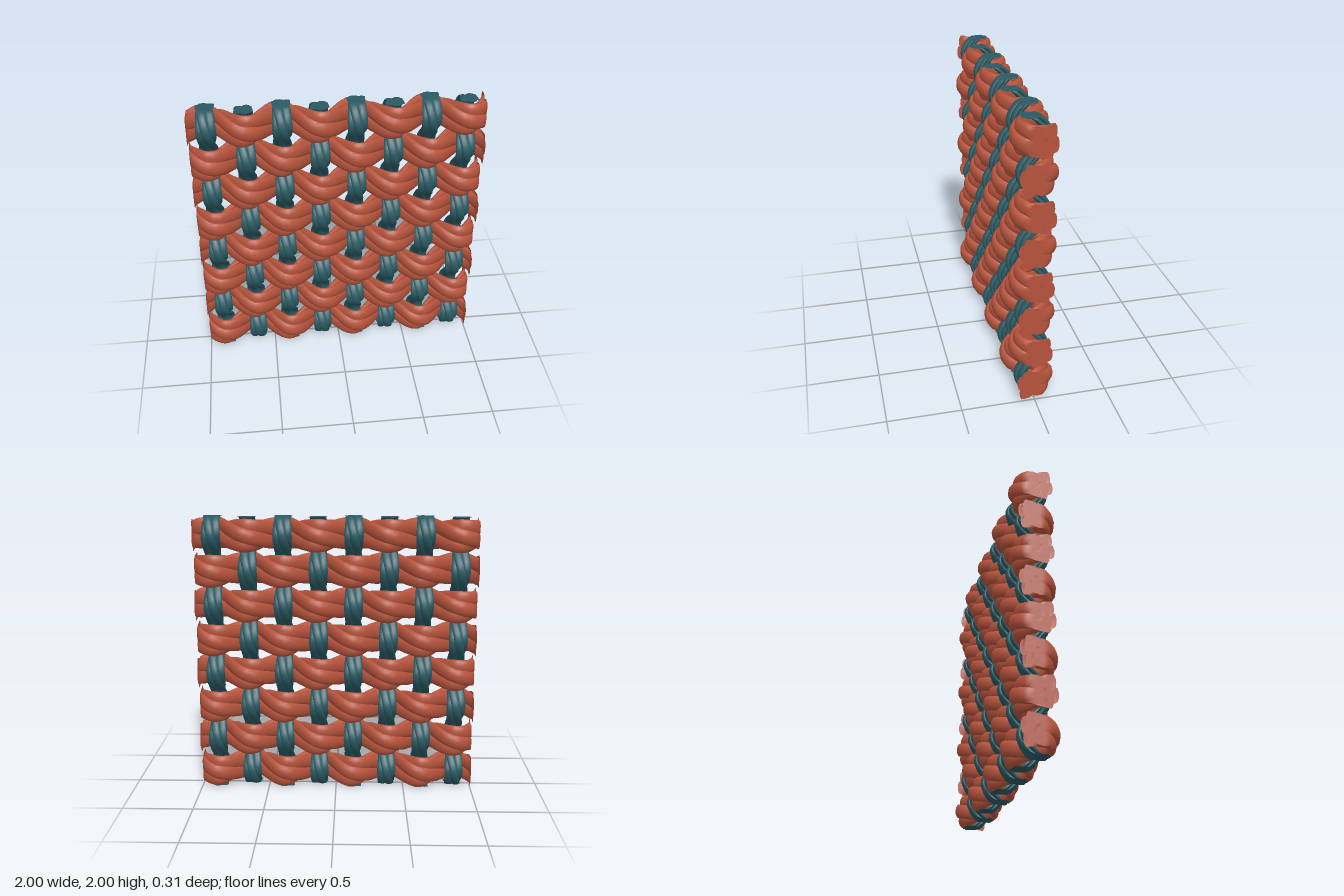
import * as THREE from 'three';
import { toCreasedNormals } from 'three/addons/utils/BufferGeometryUtils.js';

const COUNT = 8, PITCH = 0.25, PLIES = 4;
const RINGS = 88, SIDES = 10, REACH = 1.07;
const FLATTEN = 0.5, TWIST = Math.PI * 2;

// One ply of a flattened, twisted yarn that waves over and under.
// s runs along the yarn, v across the cloth, w through it; place maps them to x, y, z.
function plyGeometry({ amplitude, offset, radius }, sign, ply, place, flip) {
  const positions = [], index = [];
  const k = Math.PI / PITCH;
  for (let i = 0; i <= RINGS; i++) {
    const s = -REACH + (2 * REACH * i) / RINGS;
    const t = s + 1 - PITCH / 2;
    const wave = sign * amplitude * Math.cos(k * t);
    const slope = -sign * amplitude * k * Math.sin(k * t);
    const len = Math.hypot(1, slope);
    const turn = TWIST * t + (ply * Math.PI * 2) / PLIES;
    for (let j = 0; j < SIDES; j++) {
      const a = (j / SIDES) * Math.PI * 2 + turn;
      const v = offset * Math.cos(turn) + radius * Math.cos(a);
      const n = FLATTEN * (offset * Math.sin(turn) + radius * Math.sin(a));
      // ends are trimmed flush with the edge of the cloth
      const along = THREE.MathUtils.clamp(s - (n * slope) / len, -1, 1);
      positions.push(...place(along, v, wave + n / len));
    }
  }
  const tri = (a, b, c) => (flip ? index.push(a, c, b) : index.push(a, b, c));
  for (let i = 0; i < RINGS; i++) {
    for (let j = 0; j < SIDES; j++) {
      const a = i * SIDES + j, b = i * SIDES + ((j + 1) % SIDES);
      tri(a, b, a + SIDES);
      tri(b, b + SIDES, a + SIDES);
    }
  }
  // end caps
  const last = RINGS * SIDES;
  for (let j = 1; j < SIDES - 1; j++) {
    tri(0, j + 1, j);
    tri(last, last + j, last + j + 1);
  }
  const geometry = new THREE.BufferGeometry();
  geometry.setAttribute('position', new THREE.Float32BufferAttribute(positions, 3));
  geometry.setIndex(index);
  return toCreasedNormals(geometry, 0.9);
}

// A yarn is a group of plies twisted together
function makeYarn(name, spec, sign, material, place, flip) {
  const yarn = new THREE.Group();
  yarn.name = name;
  for (let p = 0; p < PLIES; p++) {
    const mesh = new THREE.Mesh(plyGeometry(spec, sign, p, place, flip), material);
    mesh.name = `${name}Ply${p + 1}`;
    yarn.add(mesh);
  }
  return yarn;
}

export function createModel() {
  const cloth = new THREE.Group();
  cloth.name = 'wovenCloth';

  const red = new THREE.MeshStandardMaterial({ color: 0xb5533c, side: THREE.DoubleSide });
  const teal = new THREE.MeshStandardMaterial({ color: 0x2a5a63, side: THREE.DoubleSide });
  const weft = { amplitude: 0.097, offset: 0.063, radius: 0.054 };
  const warp = { amplitude: 0.081, offset: 0.037, radius: 0.031 };

  for (let i = 0; i < COUNT; i++) {
    const centre = PITCH * (i + 0.5);
    const sign = i % 2 === 0 ? 1 : -1;
    // thick horizontal yarn
    cloth.add(makeYarn(`weftYarn${i + 1}`, weft, sign, red,
      (s, v, w) => [s, centre + v, w], false));
    // thin vertical yarn, passing on the opposite face
    cloth.add(makeYarn(`warpYarn${i + 1}`, warp, -sign, teal,
      (s, v, w) => [centre - 1 + v, s + 1, w], true));
  }
  return cloth;
}
